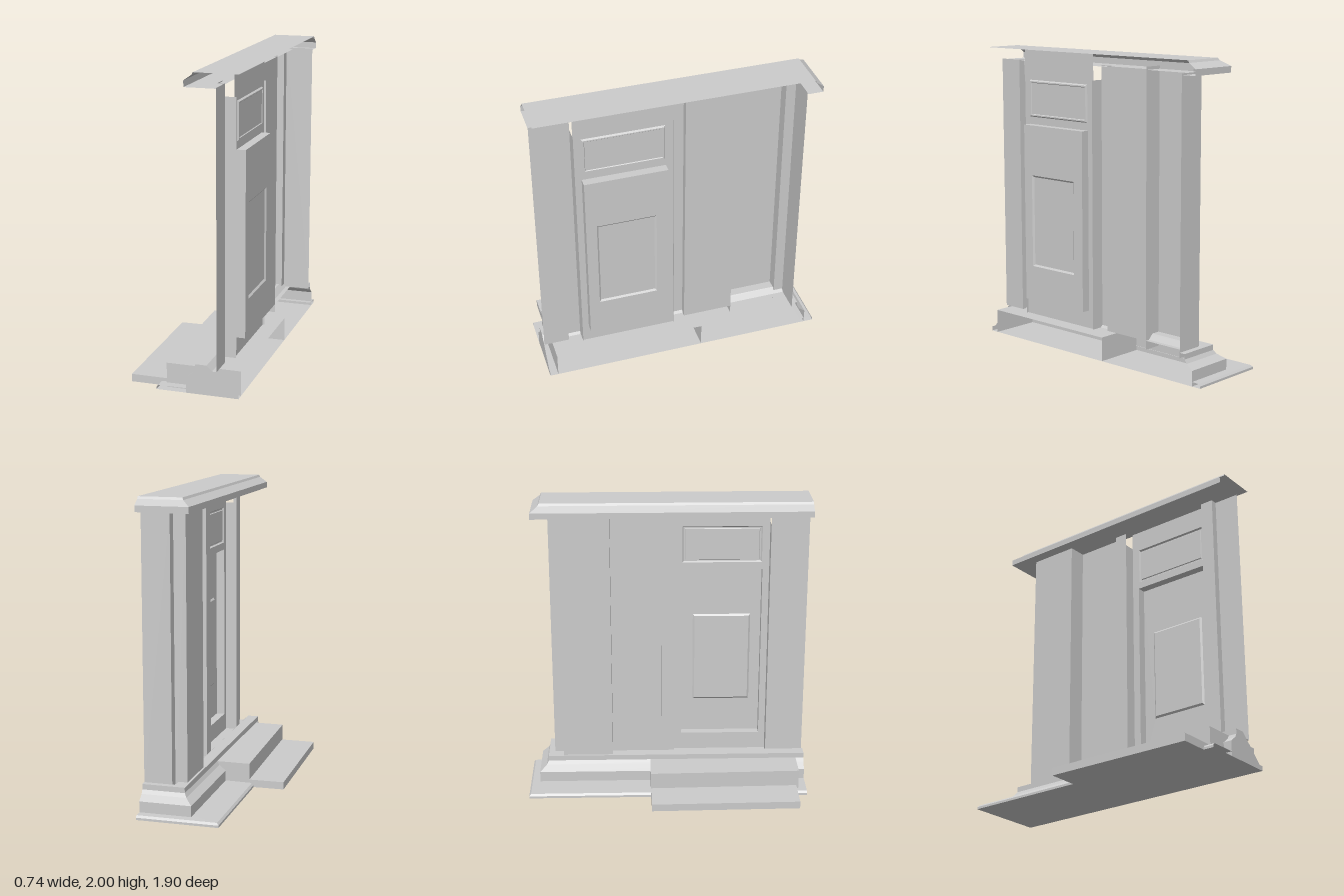
import * as THREE from 'three';

const material = new THREE.MeshStandardMaterial({ color: 0xcccccc, flatShading: true, side: THREE.DoubleSide });

// Faceted surface joining rows of [x, y, z] points; zero-area triangles are dropped
function loft(rows) {
  const pos = [];
  const v = (p) => new THREE.Vector3(...p);
  const tri = (a, b, c) => {
    if (v(b).sub(v(a)).cross(v(c).sub(v(a))).length() > 1e-9) pos.push(...a, ...b, ...c);
  };
  for (let i = 0; i < rows.length - 1; i++) {
    for (let j = 0; j < rows[i].length - 1; j++) {
      const a = rows[i][j], b = rows[i][j + 1], c = rows[i + 1][j + 1], d = rows[i + 1][j];
      tri(a, b, c);
      tri(a, c, d);
    }
  }
  const geo = new THREE.BufferGeometry();
  geo.setAttribute('position', new THREE.Float32BufferAttribute(pos, 3));
  geo.computeVertexNormals();
  return geo;
}

// Upright wall following a plan path of [x, z] points
const wall = (path, y0, y1) => loft([y1, y0].map((y) => path.map(([x, z]) => [x, y, z])));

// Horizontal face between four [x, z] corners
const slab = ([a, b, c, d], y) => loft([
  [[a[0], y, a[1]], [b[0], y, b[1]]],
  [[d[0], y, d[1]], [c[0], y, c[1]]],
]);

// Moulding mitred round the corner; profile points are [inset, y]
const RIGHT = 0.37, NEAR = 0.95;
const moulding = (x0, z0, profile) => loft(profile.map(([d, y]) => {
  const z = z0 + Math.min(d, 0.1);
  return [[x0 + d, y, NEAR], [x0 + d, y, z], [RIGHT, y, z]];
}));

// Nested rectangles [z0, z1, y0, y1, x] joined into a stepped panel, the last one filled
function panel(rings) {
  const [z0, z1, y0, y1, x] = rings[rings.length - 1];
  const zm = (z0 + z1) / 2, ym = (y0 + y1) / 2;
  return loft([...rings, [zm, zm, ym, ym, x]].map(([a, b, c, d, px]) =>
    [[px, c, a], [px, c, b], [px, d, b], [px, d, a], [px, c, a]]));
}

const inset = ([z0, z1, y0, y1], d, x) => [z0 + d, z1 - d, y0 + d, y1 - d, x];

export function createModel() {
  const model = new THREE.Group();
  const add = (name, geometry, parent = model) => {
    const mesh = new THREE.Mesh(geometry, material);
    mesh.name = name;
    parent.add(mesh);
    return mesh;
  };
  const group = (name) => {
    const g = new THREE.Group();
    g.name = name;
    model.add(g);
    return g;
  };
  const rect = (x0, x1, z0, z1) => [[x0, z0], [x0, z1], [x1, z1], [x1, z0]];

  // Thin ground plate with a bevelled rim
  const plate = group('groundPlate');
  add('plateRim', moulding(-0.165, -0.95, [[0.2, 0.03], [0.012, 0.028], [0, 0.015], [0, 0]]), plate);
  add('plateBottom', slab(rect(-0.165, RIGHT, NEAR, -0.95), 0), plate);

  // Plinth moulding and its closed end
  const plinth = group('plinth');
  add('plinthMoulding', moulding(0.03, -0.885, [
    [0.2, 0.16], [0.17, 0.16], [0.135, 0.195], [0.06, 0.195],
    [0.06, 0.16], [0.045, 0.135], [0, 0.1], [0, 0],
  ]), plinth);
  const endShape = new THREE.Shape([
    [0.03, 0], [RIGHT, 0], [RIGHT, 0.03], [0.34, 0.03], [0.165, 0.195],
    [0.09, 0.195], [0.09, 0.16], [0.075, 0.135], [0.03, 0.1],
  ].map(([x, y]) => new THREE.Vector2(x, y)));
  add('plinthEnd', new THREE.ShapeGeometry(endShape).translate(0, 0, NEAR), plinth);

  // Two slightly skewed entrance steps
  const steps = group('steps');
  const lower = [[-0.115, 0.88], [-0.355, 0.88], [-0.37, -0.115], [-0.135, -0.12]];
  const upper = [[RIGHT, 0.895], [-0.115, 0.895], [-0.135, -0.12], [RIGHT, -0.12]];
  [['lowerStep', lower, 0.05], ['upperStep', upper, 0.16]].forEach(([name, corners, h]) => {
    add(name + 'Sides', wall(corners, 0, h), steps);
    add(name + 'Tread', slab(corners, h), steps);
  });
  add('lowerStepBottom', slab(lower, 0), steps);

  // Walls, pilasters and the notched corner
  const walls = group('walls');
  add('nearWall', wall([[0.23, 0.95], [0.23, 0.78], [0.185, 0.78], [0.185, 0.69]], 0.16, 1.915), walls);
  add('middleWall', wall([[0.185, 0.05], [0.185, -0.04], [0.23, -0.04], [0.23, -0.38]], 0.16, 1.915), walls);
  add('widePilaster', wall([[0.23, -0.38], [0.105, -0.38], [0.105, -0.72], [0.185, -0.72]], 0.1, 1.93), walls);
  add('cornerAndEndWall', wall([[0.185, -0.72], [0.185, -0.785], [RIGHT, -0.785]], 0.18, 1.92), walls);
  add('nearReveal', wall([[0.185, 0.69], [0.275, 0.69]], 0.16, 1.82), walls);
  add('farReveal', wall([[0.275, 0.05], [0.185, 0.05]], 0.16, 1.82), walls);

  // Door bay: deep door with a grooved panel, and a framed panel above
  const door = group('doorBay');
  const face = 0.262, back = 0.32;
  const leaf = [0.1, 0.645, 0.28, 1.49], field = [0.18, 0.575, 0.52, 1.15];
  add('door', panel([
    [0.05, 0.69, 0.16, 1.515, face],
    inset(leaf, 0, face), inset(leaf, 0, back),
    inset(field, 0, back), inset(field, 0.012, back - 0.01),
  ]), door);
  const transom = [0.105, 0.64, 1.54, 1.79];
  add('transomPanel', panel([
    [0.05, 0.69, 1.515, 2, face],
    inset(transom, 0, face), inset(transom, 0.008, 0.273),
    inset(transom, 0.016, 0.273), inset(transom, 0.02, 0.268),
  ]), door);

  // Cornice with a mitred slope, soffit and flat top
  const cornice = group('cornice');
  add('corniceMoulding', moulding(0.03, -0.89, [
    [0.058, 2], [0.05, 1.985], [0, 1.95], [0, 1.91], [0.2, 1.91],
  ]), cornice);
  add('corniceTop', slab(rect(0.088, RIGHT, -0.832, NEAR), 2), cornice);

  return model;
}
